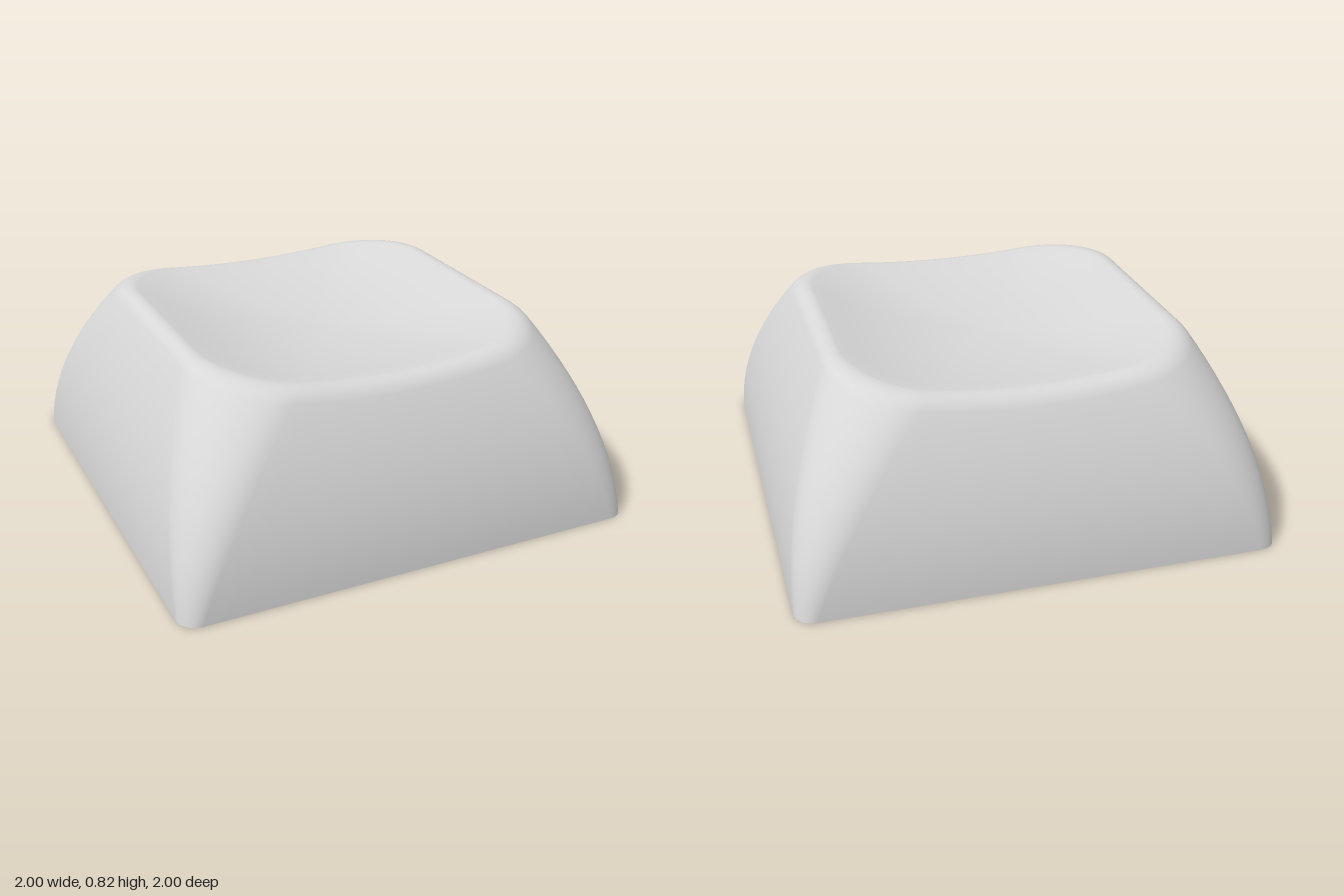
import * as THREE from 'three';
import { toCreasedNormals } from 'three/addons/utils/BufferGeometryUtils.js';

const ARC = 12, SIDE = 12, RING = 4 * (ARC + SIDE);
const FILLET = 0.055, RIM = 0.925, DIP = 0.06;
const CEILING = 0.6, CEIL_HALF = 0.71, OPEN_HALF = 0.83;

// Height of the rim, which sags towards the middle of front and back
const rimHeight = (x) => 0.75 + 0.143 * x * x;

// Point j of the rounded-square cross-section at height y
function sectionPoint(j, y) {
  const half = 1 - 0.38 * y * y;
  const r = 0.08 + 0.35 * y;
  const c = half - r;
  const quadrant = Math.floor(j / (ARC + SIDE));
  const k = j % (ARC + SIDE);
  let x, z;
  if (k <= ARC) {
    const a = (k / ARC) * Math.PI / 2;
    x = c + r * Math.cos(a);
    z = c + r * Math.sin(a);
  } else {
    x = c - 2 * c * (k - ARC) / SIDE;
    z = half;
  }
  for (let q = 0; q < quadrant; q++) [x, z] = [-z, x];
  return new THREE.Vector3(x, y, z);
}

// Wall point whose height depends on the rim above it
function wallPoint(j, heightAt) {
  let p = sectionPoint(j, 0.75);
  for (let i = 0; i < 8; i++) p = sectionPoint(j, heightAt(rimHeight(p.x)));
  return p;
}

// Curved walls, rounded rim and hollowed top as one smooth skin
function shellGeometry() {
  const rows = [];
  const addRow = (fn) => rows.push(Array.from({ length: RING }, (_, j) => fn(j)));
  // t runs from 1 at the rim to 0 in the middle of the hollow
  const topPoint = (p, t) => {
    const x = p.x * RIM * t;
    return new THREE.Vector3(x, rimHeight(x) - DIP * (1 - t * t), p.z * RIM * t);
  };

  for (let i = 0; i <= 14; i++) addRow((j) => wallPoint(j, (h) => (h - FILLET) * i / 14));
  for (let i = 1; i <= 6; i++) {
    addRow((j) => {
      const rim = wallPoint(j, (h) => h);
      const low = wallPoint(j, (h) => h - FILLET);
      return new THREE.QuadraticBezierCurve3(low, rim, topPoint(rim, 1)).getPoint(i / 6);
    });
  }
  for (let i = 1; i <= 10; i++) addRow((j) => topPoint(wallPoint(j, (h) => h), 1 - i / 10));

  const index = [];
  for (let i = 0; i < rows.length - 1; i++) {
    for (let j = 0; j < RING; j++) {
      const a = i * RING + j, b = i * RING + (j + 1) % RING;
      index.push(a, a + RING, b, b, a + RING, b + RING);
    }
  }
  const geo = new THREE.BufferGeometry().setFromPoints(rows.flat());
  geo.setIndex(index);
  geo.computeVertexNormals();
  return geo;
}

// Flat bottom edge around the square opening
function bottomRimGeometry() {
  const outline = Array.from({ length: RING }, (_, j) => {
    const p = sectionPoint(j, 0);
    return new THREE.Vector2(p.x, p.z);
  });
  const shape = new THREE.Shape(outline);
  const h = OPEN_HALF;
  shape.holes.push(new THREE.Path([
    new THREE.Vector2(-h, -h), new THREE.Vector2(-h, h),
    new THREE.Vector2(h, h), new THREE.Vector2(h, -h),
  ]));
  return new THREE.ShapeGeometry(shape).rotateX(Math.PI / 2);
}

// Tapered inner walls, mirrored so the faces look inward
function cavityGeometry() {
  const d = Math.SQRT2;
  const geo = new THREE.CylinderGeometry(CEIL_HALF * d, OPEN_HALF * d, CEILING, 4, 1, true)
    .rotateY(Math.PI / 4)
    .translate(0, CEILING / 2, 0)
    .scale(-1, 1, 1)
    .toNonIndexed();
  geo.computeVertexNormals();
  return geo;
}

// Grooved post with a cross-shaped socket
function stemGeometry() {
  const outline = [];
  for (let i = 0; i < 96; i++) {
    const a = (i / 96) * Math.PI * 2;
    const fromDiagonal = (a % (Math.PI / 2)) - Math.PI / 4;
    const r = 0.285 - 0.085 * Math.exp(-((fromDiagonal / 0.22) ** 2));
    outline.push(new THREE.Vector2(r * Math.cos(a), r * Math.sin(a)));
  }
  const shape = new THREE.Shape(outline);
  const arm = 0.235, w = 0.075, cross = [];
  for (let q = 0; q < 4; q++) {
    for (const [x, y] of [[arm, -w], [arm, w], [w, w]]) {
      cross.push(new THREE.Vector2(x, y).rotateAround(new THREE.Vector2(), q * Math.PI / 2));
    }
  }
  shape.holes.push(new THREE.Path(cross.reverse()));
  const top = CEILING + 0.02, bottom = 0.07;
  const geo = new THREE.ExtrudeGeometry(shape, { depth: top - bottom, bevelEnabled: false })
    .rotateX(Math.PI / 2)
    .translate(0, top, 0);
  return toCreasedNormals(geo, 0.6);
}

export function createModel() {
  const model = new THREE.Group();
  model.name = 'keycap';
  const grey = new THREE.MeshStandardMaterial({ color: 0xd8d8d8 });
  grey.name = 'light grey plastic';

  const add = (name, geo) => {
    const mesh = new THREE.Mesh(geo, grey);
    mesh.name = name;
    model.add(mesh);
    return mesh;
  };

  add('outerShell', shellGeometry());
  add('bottomRim', bottomRimGeometry());
  add('innerWalls', cavityGeometry());
  add('ceiling', new THREE.PlaneGeometry(2 * CEIL_HALF, 2 * CEIL_HALF).rotateX(Math.PI / 2))
    .position.y = CEILING;
  add('stem', stemGeometry());

  // Four ribs under the ceiling, running out from the stem
  for (let q = 0; q < 4; q++) {
    const rib = new THREE.BoxGeometry(0.43, 0.08, 0.08).translate(0.475, CEILING - 0.03, 0);
    add('rib', rib.rotateY(q * Math.PI / 2));
  }
  return model;
}
